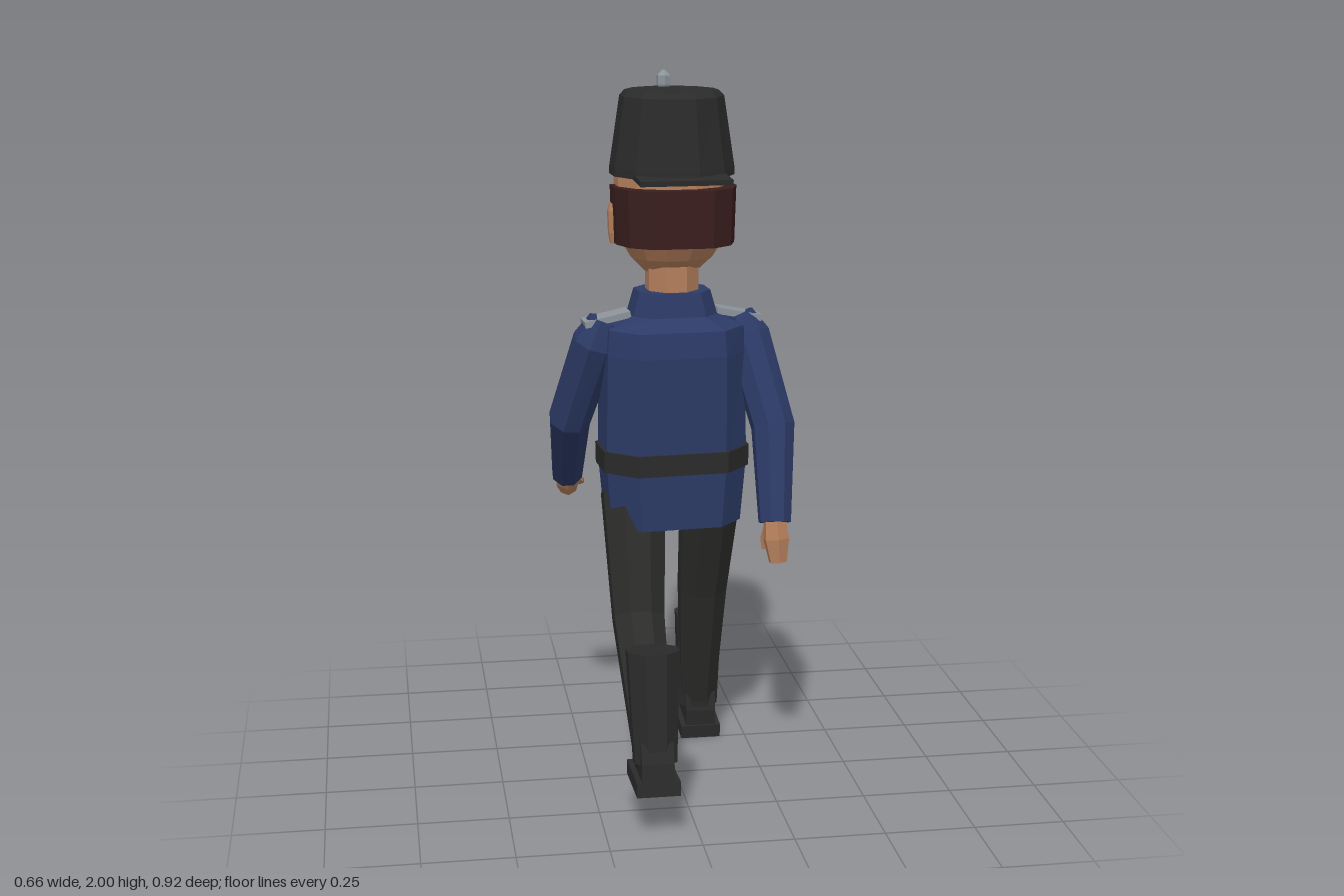
import * as THREE from 'three';

const mat = (name, color) => {
  const m = new THREE.MeshStandardMaterial({ color });
  m.name = name;
  return m;
};

// Closed faceted skin through rings of points (counterclockwise seen from the end)
function loft(rings) {
  const n = rings[0].length, pos = [], idx = [];
  rings.forEach(r => r.forEach(p => pos.push(p.x, p.y, p.z)));
  for (let i = 0; i < rings.length - 1; i++) for (let j = 0; j < n; j++) {
    const a = i * n + j, b = i * n + (j + 1) % n;
    idx.push(a, b, b + n, a, b + n, a + n);
  }
  const last = (rings.length - 1) * n;
  for (let j = 1; j < n - 1; j++) idx.push(0, j + 1, j, last, last + j, last + j + 1);
  const g = new THREE.BufferGeometry();
  g.setAttribute('position', new THREE.Float32BufferAttribute(pos, 3));
  g.setIndex(idx);
  const flat = g.toNonIndexed();
  flat.computeVertexNormals();
  return flat;
}

// Horizontal rings [y, rx, rz, zc] of one outline
const stack = (outline, rows) => loft(rows.map(([y, rx, rz, zc = 0]) =>
  outline.map(([x, z]) => new THREE.Vector3(x * rx, y, zc + z * rz))));
const round = n => Array.from({ length: n }, (_, i) => {
  const a = (i + 0.5) / n * Math.PI * 2;
  return [Math.cos(a), -Math.sin(a)];
});

// Faceted limb through points [x, y, z, radius]; flatten squashes it along x
function limb(points, n = 8, flatten = 1) {
  const p = points.map(q => new THREE.Vector3(q[0], q[1], q[2]));
  return loft(p.map((c, i) => {
    const d = p[Math.min(i + 1, p.length - 1)].clone().sub(p[Math.max(i - 1, 0)]).normalize();
    const u = new THREE.Vector3(1, 0, 0).addScaledVector(d, -d.x).normalize();
    const v = d.clone().cross(u);
    return round(n).map(([x, z]) => c.clone()
      .addScaledVector(u, x * points[i][3] * flatten).addScaledVector(v, -z * points[i][3]));
  }));
}

export function createModel() {
  const navy = mat('navy cloth', 0x2c3a66), trouser = mat('charcoal cloth', 0x2c2c2b);
  const black = mat('black leather', 0x2b2b2b), skin = mat('skin', 0xb57f5c);
  const hairMat = mat('dark brown hair', 0x3a1e1e), silver = mat('silver', 0x8c949c);
  const gold = mat('gold', 0xb38c2c), eyeMat = mat('eye slate', 0x3c4c5c);

  const model = new THREE.Group();
  const add = (parent, name, geo, material, p = [0, 0, 0], r = [0, 0, 0]) => {
    const m = new THREE.Mesh(geo, material);
    m.name = name;
    m.position.set(...p);
    m.rotation.set(...r);
    parent.add(m);
    return m;
  };
  const box = (w, h, d) => new THREE.BoxGeometry(w, h, d);
  const group = (name, yaw) => {
    const g = new THREE.Group();
    g.name = name;
    g.position.z = -0.065;
    g.rotation.y = yaw;
    model.add(g);
    return g;
  };

  // Torso, twisted with the stride; the chest is on its -z side
  const torso = group('torso', 0.08);
  const chest = [[1, 0.45], [1, -0.45], [0.62, -0.9], [0, -1], [-0.62, -0.9], [-1, -0.45], [-1, 0.45], [-0.62, 1], [0.62, 1]];
  add(torso, 'tunic', stack(chest, [
    [0.75, 0.185, 0.128], [0.93, 0.2, 0.138], [1.24, 0.195, 0.15],
    [1.31, 0.19, 0.14], [1.345, 0.115, 0.1], [1.35, 0.11, 0.095]]), navy);
  add(torso, 'collar', stack(chest, [[1.32, 0.125, 0.105], [1.41, 0.1, 0.088]]), navy);
  add(torso, 'belt', stack(chest, [[0.91, 0.206, 0.144], [0.97, 0.207, 0.146]]), black);
  add(torso, 'buckle', box(0.065, 0.06, 0.02), silver, [0, 0.94, -0.148]);
  [[0.85, -0.138], [1.025, -0.147], [1.105, -0.15], [1.19, -0.152], [1.27, -0.15]].forEach(([y, z]) =>
    add(torso, 'button', box(0.022, 0.022, 0.02), silver, [0, y, z]));
  for (const s of [-1, 1]) {
    add(torso, 'chestPocket', box(0.08, 0.085, 0.02), navy, [s * 0.112, 1.185, -0.138], [0, s * -0.17, 0]);
    add(torso, 'collarBadge', box(0.035, 0.035, 0.018), silver, [s * 0.045, 1.378, -0.096]);
    add(torso, 'epaulette', box(0.13, 0.018, 0.07), silver, [s * 0.187, 1.335, 0], [0, 0, s * -0.2]);
  }

  // Arms with sleeves and hands
  add(model, 'rightSleeve', limb([[-0.19, 1.33, -0.045, 0.045], [-0.215, 1.27, -0.05, 0.065],
    [-0.28, 1.03, -0.15, 0.06], [-0.27, 0.815, -0.35, 0.046]]), navy);
  add(model, 'rightHand', limb([[-0.272, 0.835, -0.335, 0.03], [-0.268, 0.79, -0.375, 0.037],
    [-0.262, 0.755, -0.405, 0.026]], 6), skin);
  add(model, 'rightThumb', limb([[-0.25, 0.81, -0.355, 0.014], [-0.23, 0.785, -0.385, 0.014],
    [-0.222, 0.775, -0.408, 0.01]], 5), skin);
  add(model, 'leftSleeve', limb([[0.19, 1.33, -0.085, 0.045], [0.215, 1.27, -0.075, 0.065],
    [0.272, 1.03, 0.025, 0.062], [0.263, 0.775, 0.112, 0.046]]), navy);
  add(model, 'leftHand', limb([[0.263, 0.79, 0.11, 0.032], [0.266, 0.73, 0.12, 0.038],
    [0.27, 0.665, 0.13, 0.026]], 6), skin);
  add(model, 'leftThumb', limb([[0.25, 0.765, 0.095, 0.014], [0.243, 0.72, 0.078, 0.014],
    [0.243, 0.69, 0.08, 0.01]], 5), skin);

  // Legs, boot shafts and shoes
  const shoe = new THREE.Shape([[-0.1, 0], [0.1, 0], [0.1, 0.045], [0.075, 0.07], [0.02, 0.075],
    [-0.03, 0.11], [-0.085, 0.1], [-0.1, 0.05]].map(p => new THREE.Vector2(...p)));
  const legs = [
    ['left', [[0.115, 0.84, -0.085, 0.09], [0.11, 0.5, -0.2, 0.074], [0.112, 0.12, -0.295, 0.055]],
      [[0.112, 0.1, -0.302, 0.062], [0.112, 0.39, -0.283, 0.072]], [0.115, 0.033, -0.35], 0.12],
    ['right', [[-0.112, 0.835, -0.055, 0.095], [-0.115, 0.5, 0.07, 0.076], [-0.112, 0.19, 0.37, 0.056]],
      [[-0.113, 0.2, 0.382, 0.062], [-0.113, 0.503, 0.343, 0.076]], [-0.113, 0.14, 0.353], -0.08]];
  for (const [side, path, shaft, foot, tilt] of legs) {
    add(model, side + 'TrouserLeg', limb(path), trouser);
    add(model, side + 'BootShaft', limb(shaft), black);
    const g = new THREE.Group();
    g.name = side + 'Shoe';
    g.position.set(...foot);
    g.rotation.x = tilt;
    model.add(g);
    add(g, 'sole', box(0.118, 0.04, 0.212), black);
    const upper = new THREE.ExtrudeGeometry(shoe, { depth: 0.088, bevelEnabled: false });
    add(g, 'shoeUpper', upper.translate(0, 0, -0.044), black, [0, 0.018, 0], [0, Math.PI / 2, 0]);
  }

  // Head and face
  const head = group('head', 0.04);
  add(head, 'neck', stack(round(8), [[1.36, 0.075, 0.08], [1.48, 0.075, 0.08]]), skin);
  add(head, 'skull', stack(round(12), [[1.46, 0.075, 0.07, -0.02], [1.5, 0.115, 0.11, -0.01],
    [1.56, 0.15, 0.14], [1.62, 0.162, 0.145], [1.74, 0.16, 0.142]]), skin);
  const hairOutline = [[1, -0.025], [0.62, -0.025], [-0.62, -0.025], [-1, -0.025],
    [-1, 0.06], [-0.85, 0.13], [-0.5, 0.175], [0.5, 0.175], [0.85, 0.13], [1, 0.06]];
  add(head, 'hair', stack(hairOutline, [[1.545, 0.163, 1], [1.7, 0.168, 1]]), hairMat);
  add(head, 'nose', limb([[0, 1.65, -0.135, 0.012], [0, 1.605, -0.155, 0.022], [0, 1.585, -0.145, 0.02]], 6), skin);
  for (const s of [-1, 1]) {
    add(head, 'ear', stack(round(6), [[1.54, 0.008, 0.015], [1.57, 0.014, 0.022],
      [1.63, 0.016, 0.026], [1.65, 0.01, 0.02]]), skin, [s * 0.163, 0, -0.005]);
    add(head, 'eye', box(0.034, 0.045, 0.009), eyeMat, [s * 0.055, 1.635, -0.139], [0, s * -0.25, 0]);
    add(head, 'pupil', box(0.016, 0.03, 0.008), black, [s * 0.055, 1.635, -0.142], [0, s * -0.25, 0]);
    add(head, 'eyebrow', box(0.06, 0.018, 0.025), hairMat, [s * 0.058, 1.678, -0.143], [0, s * -0.25, s * 0.1]);
    add(head, 'moustacheHalf', limb([[0, 1.568, -0.165, 0.023], [s * 0.04, 1.557, -0.165, 0.026],
      [s * 0.075, 1.54, -0.145, 0.012]], 6), hairMat);
  }

  // Hat with peaks, badge and finial
  add(head, 'hatCrown', stack(round(12), [[1.728, 0.172, 0.178], [1.75, 0.171, 0.177],
    [1.94, 0.142, 0.158], [1.955, 0.128, 0.142]]), black);
  const peak = box(0.25, 0.014, 0.13);
  add(head, 'frontPeak', peak, black, [0, 1.73, -0.165], [-0.1, 0, 0]);
  add(head, 'backPeak', peak, black, [0, 1.73, 0.155], [0.06, 0, 0]);
  const badge = new THREE.CylinderGeometry(0.045, 0.062, 0.03, 10).toNonIndexed();
  badge.computeVertexNormals();
  add(head, 'hatBadge', badge, gold, [0, 1.845, -0.168], [-Math.PI / 2 + 0.1, 0, 0]);
  add(head, 'hatFinial', stack(round(6), [[1.945, 0.014, 0.014], [1.96, 0.02, 0.02],
    [1.985, 0.02, 0.02], [2, 0.005, 0.005]]), silver, [0, 0, -0.12]);

  return model;
}
